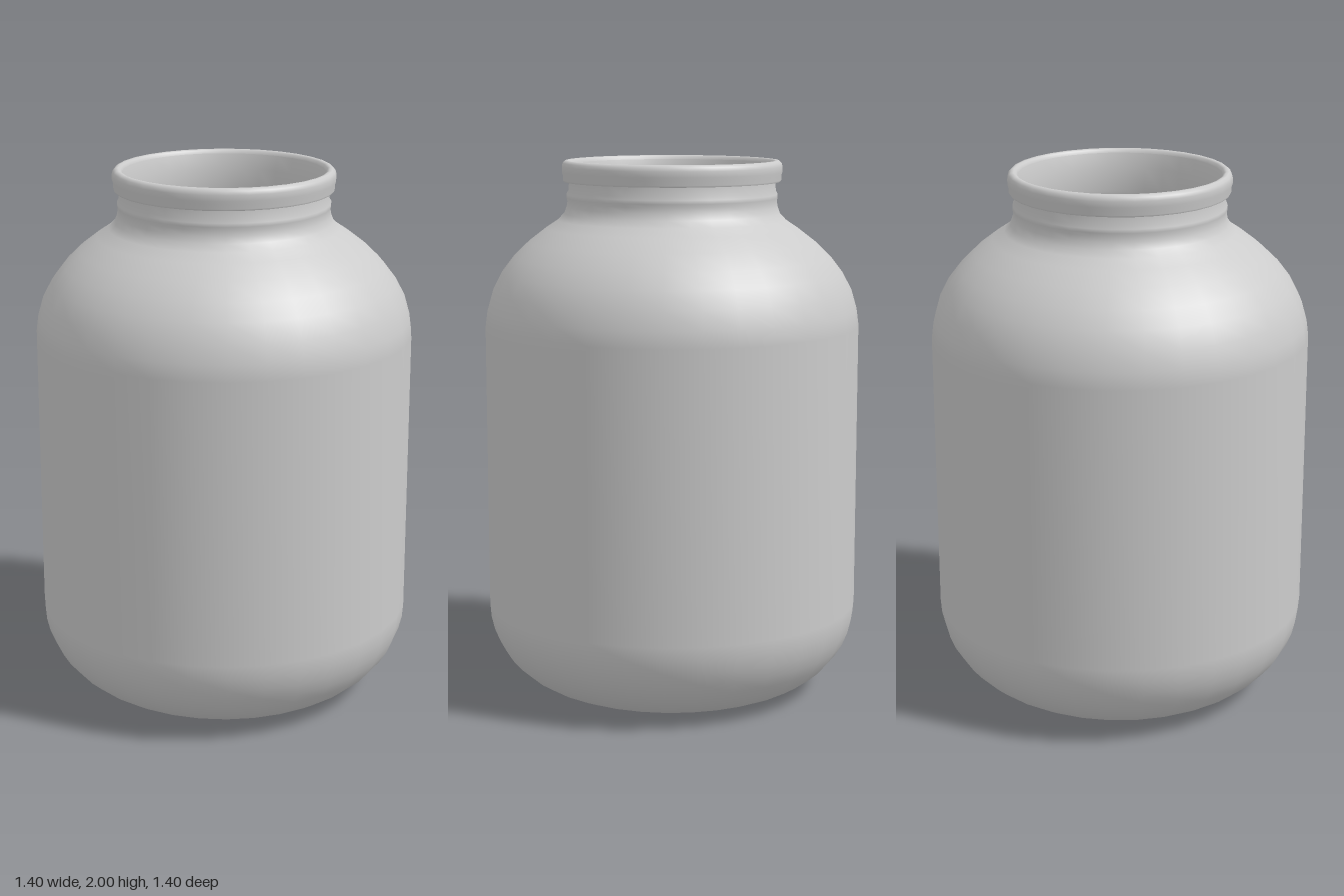
import * as THREE from 'three';

const SEGMENTS = 32;
const material = new THREE.MeshStandardMaterial({ color: 0xcccccc, side: THREE.DoubleSide });

// Revolves a profile of [radius, height] pairs; rising profiles face outward
function revolve(name, profile, segments = SEGMENTS) {
  const points = profile.map(([r, y]) => new THREE.Vector2(r, y));
  const mesh = new THREE.Mesh(new THREE.LatheGeometry(points, segments), material);
  mesh.name = name;
  return mesh;
}

// Rounded heel: quarter arc from the base disc up to the wall
function heel(cx, cy, radius, steps = 10) {
  return Array.from({ length: steps + 1 }, (_, i) => {
    const a = (i / steps) * Math.PI / 2;
    return [cx + radius * Math.sin(a), cy - radius * Math.cos(a)];
  });
}

export function createModel() {
  const jar = new THREE.Group();
  jar.name = 'jar';

  // Shoulder curve from the wall up to the foot of the neck
  const shoulder = [
    [0.7, 1.39], [0.692, 1.45], [0.672, 1.52], [0.638, 1.585], [0.592, 1.645],
    [0.535, 1.7], [0.47, 1.75], [0.425, 1.78], [0.402, 1.805], [0.393, 1.83],
  ];

  // Base, heel, wall and shoulder in one smooth skin
  jar.add(revolve('outerBody', [
    [0, 0.012], [0.2, 0.01], [0.34, 0.002], ...heel(0.37, 0.33, 0.33), ...shoulder,
    [0.39, 1.85], [0.393, 1.862], [0.393, 1.876], [0.386, 1.888], [0.384, 1.922],
  ]));

  // Rolled rim with a sharp ledge beneath and a shallow step on its side
  jar.add(revolve('rimLedge', [[0.384, 1.922], [0.403, 1.922]]));
  jar.add(revolve('rim', [
    [0.403, 1.922], [0.406, 1.928], [0.406, 1.945], [0.41, 1.957], [0.41, 1.978],
    [0.406, 1.991], [0.397, 1.999], [0.387, 2], [0.378, 1.996], [0.374, 1.985],
  ]));

  // Inside of the neck, shoulder, wall and floor, offset by the glass thickness
  const innerShoulder = shoulder.slice(0, -1).reverse().map(([r, y]) => [r - 0.028, y - 0.014]);
  jar.add(revolve('innerBody', [
    [0.374, 1.985], [0.36, 1.93], [0.358, 1.84], ...innerShoulder,
    ...heel(0.37, 0.33, 0.302).reverse(), [0.2, 0.036], [0, 0.038],
  ]));

  return jar;
}
